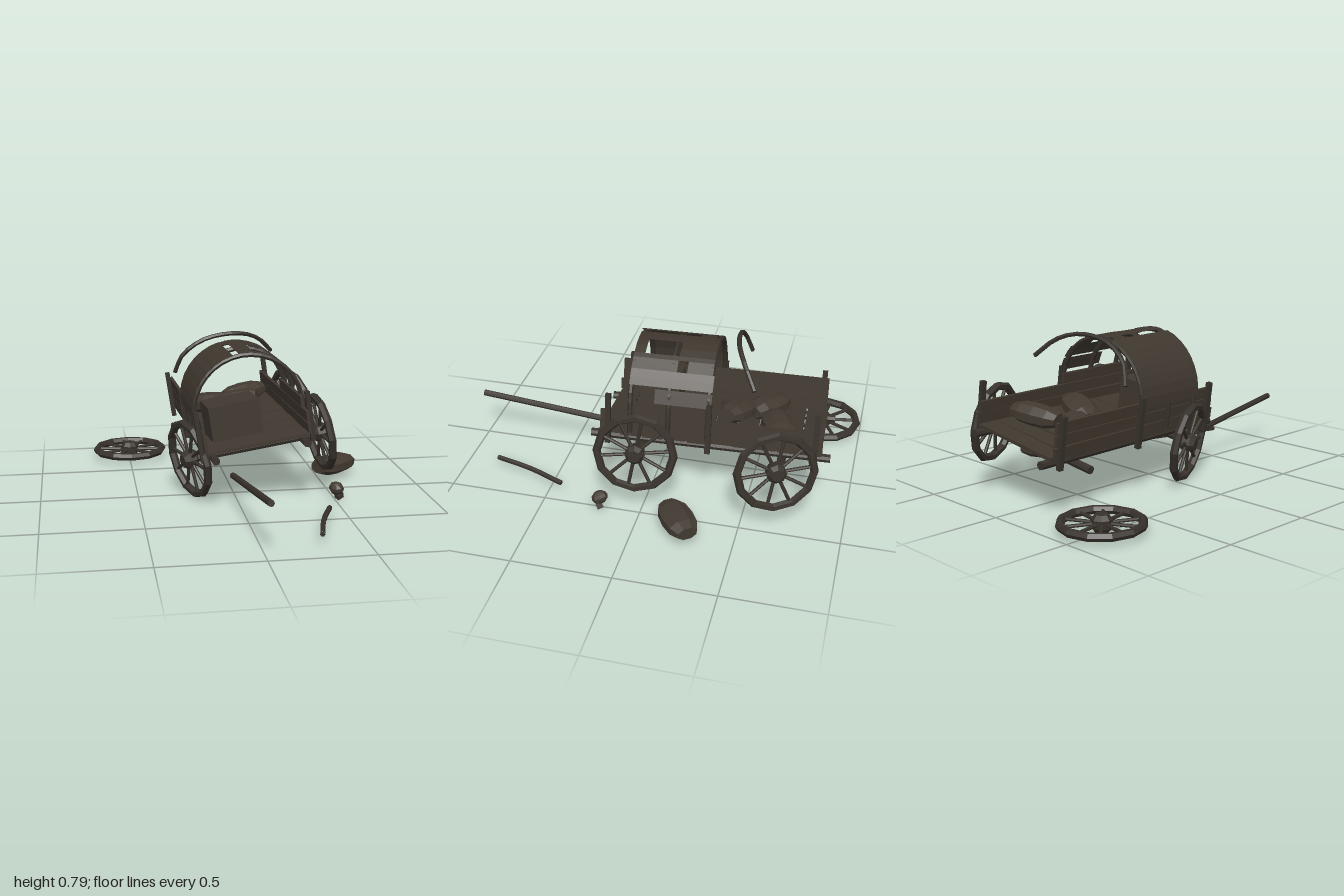
import * as THREE from 'three';

const mat = (name, color, extra = {}) =>
  Object.assign(new THREE.MeshStandardMaterial({ color, flatShading: true, ...extra }), { name });

export function createModel() {
  const wood = mat('weathered wood', 0x40382f);
  const dark = mat('dark wood', 0x37312a);
  const sackCloth = mat('sack cloth', 0x423a31);
  const cloth = mat('cover cloth', 0x3f372e, { side: THREE.DoubleSide });
  const model = new THREE.Group();
  model.name = 'brokenWagon';

  let seed = 7;
  const rand = () => ((seed = (seed * 16807) % 2147483647) / 2147483647 - 0.5);

  const add = (parent, name, geo, material, x = 0, y = 0, z = 0) => {
    const m = new THREE.Mesh(geo, material);
    m.name = name;
    m.position.set(x, y, z);
    parent.add(m);
    return m;
  };
  const box = (parent, name, w, h, d, x, y, z, material = wood) =>
    add(parent, name, new THREE.BoxGeometry(w, h, d), material, x, y, z);
  const rod = (parent, name, a, b, r, material = dark) => {
    const A = new THREE.Vector3(...a), B = new THREE.Vector3(...b);
    const dir = B.clone().sub(A);
    const m = add(parent, name, new THREE.CylinderGeometry(r, r, dir.length(), 8), material);
    m.position.copy(A).add(B).multiplyScalar(0.5);
    m.quaternion.setFromUnitVectors(new THREE.Vector3(0, 1, 0), dir.normalize());
    return m;
  };
  // Bent stick with closed ends
  const bent = (parent, name, pts, r, segments) => {
    const curve = new THREE.CatmullRomCurve3(pts.map(p => new THREE.Vector3(...p)));
    add(parent, name, new THREE.TubeGeometry(curve, segments, r, 6), dark);
    for (const t of [0, 1]) {
      const cap = add(parent, name + 'End', new THREE.CircleGeometry(r, 6), dark);
      cap.position.copy(curve.getPoint(t));
      cap.quaternion.setFromUnitVectors(new THREE.Vector3(0, 0, 1),
        curve.getTangent(t).multiplyScalar(t ? 1 : -1));
    }
  };

  // Spoked wheel, axis along its own z
  const wheel = (name, x, y, z) => {
    const g = new THREE.Group();
    g.name = name;
    g.position.set(x, y, z);
    add(g, 'rim', new THREE.TorusGeometry(0.19, 0.021, 6, 12), dark);
    const profile = [[0, -0.042], [0.032, -0.042], [0.05, -0.02], [0.05, 0.02], [0.032, 0.042], [0, 0.042]];
    const hub = new THREE.LatheGeometry(profile.map(p => new THREE.Vector2(...p)), 8);
    add(g, 'hub', hub.rotateX(Math.PI / 2), dark);
    for (let i = 0; i < 10; i++) {
      const a = (i / 10) * Math.PI * 2 + 0.15, c = Math.cos(a), s = Math.sin(a);
      rod(g, 'spoke', [c * 0.03, s * 0.03, 0], [c * 0.18, s * 0.18, 0], 0.009);
    }
    model.add(g);
    return g;
  };
  const standing = (name, x, y, z, yaw, roll) =>
    wheel(name, x, y, z).rotation.set(0, yaw + Math.PI / 2, roll, 'ZYX');
  standing('frontRightWheel', -0.235, 0.217, 0.05, 0.38, 0.16);
  standing('frontLeftWheel', 0.45, 0.33, 0.033, 0.12, 0.16);
  standing('rearLeftWheel', 0.44, 0.33, -0.66, 0.38, 0.16);
  wheel('fallenWheel', -0.497, 0.055, -0.79).rotation.x = Math.PI / 2;

  // Flattened sack, long axis along x
  const sackProfile = [[0, -0.125], [0.052, -0.125], [0.078, -0.075], [0.085, 0],
    [0.078, 0.075], [0.052, 0.125], [0, 0.125]].map(p => new THREE.Vector2(...p));
  const sack = (parent, x, y, z, yaw, roll = 0) => {
    const geo = new THREE.LatheGeometry(sackProfile, 8);
    geo.rotateY(Math.PI / 8).rotateZ(-Math.PI / 2).scale(1, 0.64, 1);
    add(parent, 'sack', geo, sackCloth, x, y, z).rotation.set(0, yaw, roll);
  };

  // Leaning wagon body, floor at its y = 0
  const wagon = new THREE.Group();
  wagon.name = 'wagonBody';
  wagon.position.set(0.07, 0.33, -0.295);
  wagon.rotation.set(0, 0.043, 0.148, 'YXZ');
  model.add(wagon);

  for (let i = 0; i < 10; i++) {
    box(wagon, 'floorPlank', 0.53 + rand() * 0.02, 0.016, 0.104, rand() * 0.01, 0.002 + rand() * 0.006,
      -0.5 + i * 0.111).rotation.y = rand() * 0.025;
  }
  for (const s of [-1, 1]) {
    rod(wagon, 'floorRail', [s * 0.235, -0.025, -0.595], [s * 0.235, -0.025, 0.595], 0.021);
    for (const z of [-0.52, 0, 0.5]) box(wagon, 'sidePost', 0.024, 0.26, 0.026, s * 0.287, 0.085, z, dark);
    for (let i = 0; i < 2; i++) {
      box(wagon, 'sidePlank', 0.016, 0.056, 1.1 + rand() * 0.03, s * 0.268, 0.034 + i * 0.06, rand() * 0.02)
        .rotation.x = rand() * 0.012;
    }
  }
  box(wagon, 'topPlankRight', 0.016, 0.056, 1.09, -0.268, 0.154, 0);
  box(wagon, 'topPlankLeft', 0.016, 0.056, 0.46, 0.268, 0.154, 0.22);

  // Axles
  rod(wagon, 'frontAxle', [-0.3, -0.065, 0.335], [0.38, -0.065, 0.335], 0.021);
  rod(wagon, 'rearAxle', [-0.33, -0.065, -0.36], [0.38, -0.065, -0.36], 0.021);

  // Cover hoops
  const R = 0.283, cy = 0.15;
  for (const z of [0.39, 0.2, 0.005]) {
    const pts = [[R, 0.02, z]];
    for (let i = 0; i <= 10; i++) {
      const a = (i / 10) * Math.PI;
      pts.push([R * Math.cos(a), cy + R * Math.sin(a), z]);
    }
    pts.push([-R, 0.02, z]);
    bent(wagon, 'coverHoop', pts, 0.013, 22);
  }

  // Torn cover: arc strips as [start degree, end degree, back z, front z]
  const strips = [
    [98, 178, -0.005, 0.41], [76, 92, 0, 0.4], [57, 76, 0, 0.175], [57, 76, 0.345, 0.4],
    [52, 57, 0, 0.4], [40, 52, 0, 0.125], [40, 52, 0.175, 0.4], [24, 40, -0.01, 0.4],
    [8, 22, -0.01, 0.27], [92, 98, 0.02, 0.1],
  ];
  for (const [a0, a1, z0, z1] of strips) {
    const rad = Math.PI / 180;
    const geo = new THREE.CylinderGeometry(R + 0.012, R + 0.012, z1 - z0, Math.max(1, Math.round((a1 - a0) / 10)),
      1, true, (a0 + 90) * rad, (a1 - a0) * rad);
    add(wagon, 'coverStrip', geo.rotateX(Math.PI / 2), cloth, 0, cy, (z0 + z1) / 2);
  }

  // Cargo
  box(wagon, 'crate', 0.268, 0.18, 0.2, -0.08, 0.108, 0.3).rotation.y = 0.05;
  sack(wagon, -0.115, 0.065, -0.25, -0.57);
  sack(wagon, 0.105, 0.065, -0.325, 0.3);
  sack(wagon, 0.02, 0.085, -0.11, -0.36, 0.1);

  // Loose pieces around the wagon
  bent(model, 'looseHoop', [[-0.26, 0.58, -0.415], [-0.22, 0.68, -0.387], [-0.1, 0.765, -0.378],
    [0.08, 0.79, -0.4], [0.2, 0.755, -0.45], [0.29, 0.67, -0.515]], 0.012, 14);
  bent(model, 'fallenStick', [[0.413, 0.05, 0.44], [0.338, 0.055, 0.63], [0.285, 0.057, 0.83]], 0.013, 6);
  rod(model, 'drawPole', [-0.033, 0.163, 0.2], [0.014, 0.272, 0.997], 0.016);
  sack(model, 0.59, 0.08, -0.215, 0.62);

  // Small skull
  const skull = new THREE.Group();
  skull.name = 'skull';
  skull.position.set(0.505, 0.072, 0.205);
  skull.rotation.set(0.3, 0.5, 0.2);
  add(skull, 'cranium', new THREE.SphereGeometry(0.04, 8, 6), sackCloth).scale.set(0.9, 0.85, 1.05);
  box(skull, 'jaw', 0.036, 0.03, 0.032, 0, -0.038, 0.016, sackCloth);
  model.add(skull);

  return model;
}
